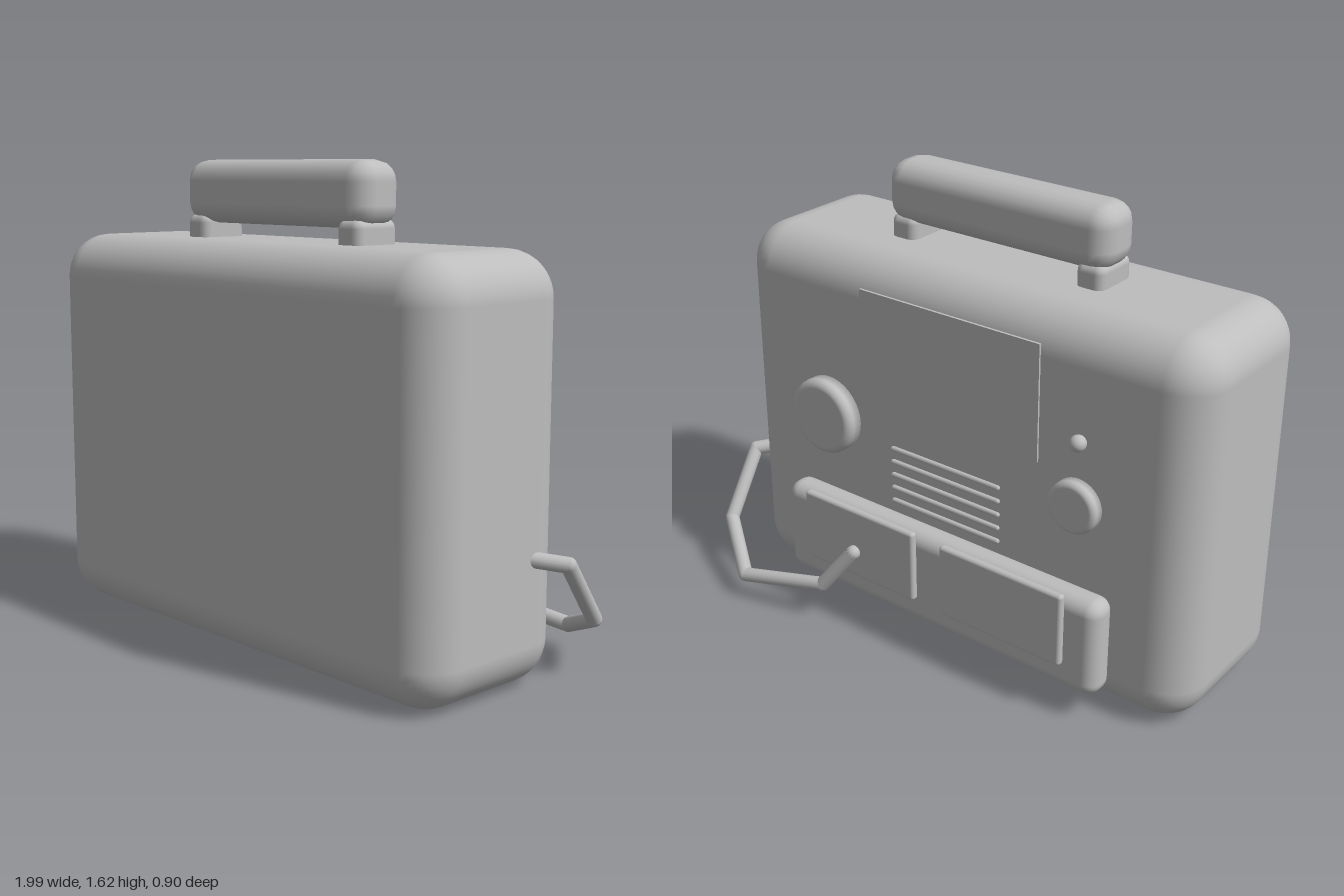
import * as THREE from 'three';
import { RoundedBoxGeometry } from 'three/addons/geometries/RoundedBoxGeometry.js';

export function createModel() {
  const group = new THREE.Group();
  const grey = new THREE.MeshStandardMaterial({ color: 0xbdbdbd });
  grey.name = 'grey';

  function add(name, geometry, x = 0, y = 0, z = 0) {
    const mesh = new THREE.Mesh(geometry, grey);
    mesh.name = name;
    mesh.position.set(x, y, z);
    group.add(mesh);
    return mesh;
  }

  // rounded box given by its limits
  function block(name, [x0, x1], [y0, y1], [z0, z1], radius, segments = 4) {
    const g = new RoundedBoxGeometry(x1 - x0, y1 - y0, z1 - z0, segments, radius);
    return add(name, g, (x0 + x1) / 2, (y0 + y1) / 2, (z0 + z1) / 2);
  }

  // Case
  block('body', [-1, 0.9], [0, 1.36], [-0.18, 0.45], 0.15, 5);

  // Carrying handle on two short posts
  block('handleGrip', [-0.5, 0.4], [1.41, 1.625], [0.04, 0.235], 0.07, 2);
  for (const x of [-0.43, 0.33]) {
    block('handlePost', [x - 0.052, x + 0.052], [1.26, 1.44], [0.05, 0.23], 0.03, 2);
  }

  // Thin screen plate on the back
  add('screen', new THREE.BoxGeometry(0.74, 0.41, 0.009), -0.05, 1.045, -0.183);

  // Dials: turned discs with a rounded rim, facing -z
  function dial(name, x, y, radius, depth, bevel) {
    const profile = [new THREE.Vector2(0, 0), new THREE.Vector2(radius, 0)];
    for (let i = 0; i <= 5; i++) {
      const a = (i / 5) * Math.PI / 2;
      profile.push(new THREE.Vector2(
        radius - bevel + bevel * Math.cos(a),
        depth - bevel + bevel * Math.sin(a)));
    }
    profile.push(new THREE.Vector2(0, depth));
    const g = new THREE.LatheGeometry(profile, 36);
    g.rotateX(-Math.PI / 2);
    add(name, g, x, y, -0.17);
  }
  dial('largeDial', 0.48, 0.74, 0.14, 0.072, 0.028);
  dial('smallDial', -0.575, 0.74, 0.092, 0.055, 0.02);

  // Small ball button
  add('button', new THREE.SphereGeometry(0.028, 20, 14), -0.58, 0.965, -0.198);

  // Speaker slats
  for (let i = 0; i < 5; i++) {
    const g = new THREE.CapsuleGeometry(0.009, 0.45, 4, 10);
    g.rotateZ(Math.PI / 2);
    add('slat', g, -0.04, 0.49 + i * 0.051, -0.188);
  }

  // Lower panel with two flat doors
  block('lowerPanel', [-0.73, 0.625], [0.1, 0.455], [-0.285, -0.17], 0.048, 4);
  for (const x of [-0.36, 0.255]) {
    block('door', [x - 0.25, x + 0.25], [0.2, 0.47], [-0.31, -0.28], 0.012, 2);
  }

  // Cable: straight segments with round joints
  const path = [
    [0.84, 0.43, 0.02], [0.968, 0.405, -0.1], [0.935, 0.19, -0.28],
    [0.72, 0.09, -0.428], [0.39, 0.145, -0.36], [0.27, 0.305, -0.32],
  ].map((p) => new THREE.Vector3(...p));
  const up = new THREE.Vector3(0, 1, 0);
  path.forEach((p, i) => {
    add('cableJoint', new THREE.SphereGeometry(0.026, 14, 10), p.x, p.y, p.z);
    if (i === 0) return;
    const dir = p.clone().sub(path[i - 1]);
    const mid = p.clone().add(path[i - 1]).multiplyScalar(0.5);
    const g = new THREE.CylinderGeometry(0.026, 0.026, dir.length(), 14);
    add('cableSegment', g, mid.x, mid.y, mid.z)
      .quaternion.setFromUnitVectors(up, dir.normalize());
  });

  return group;
}
